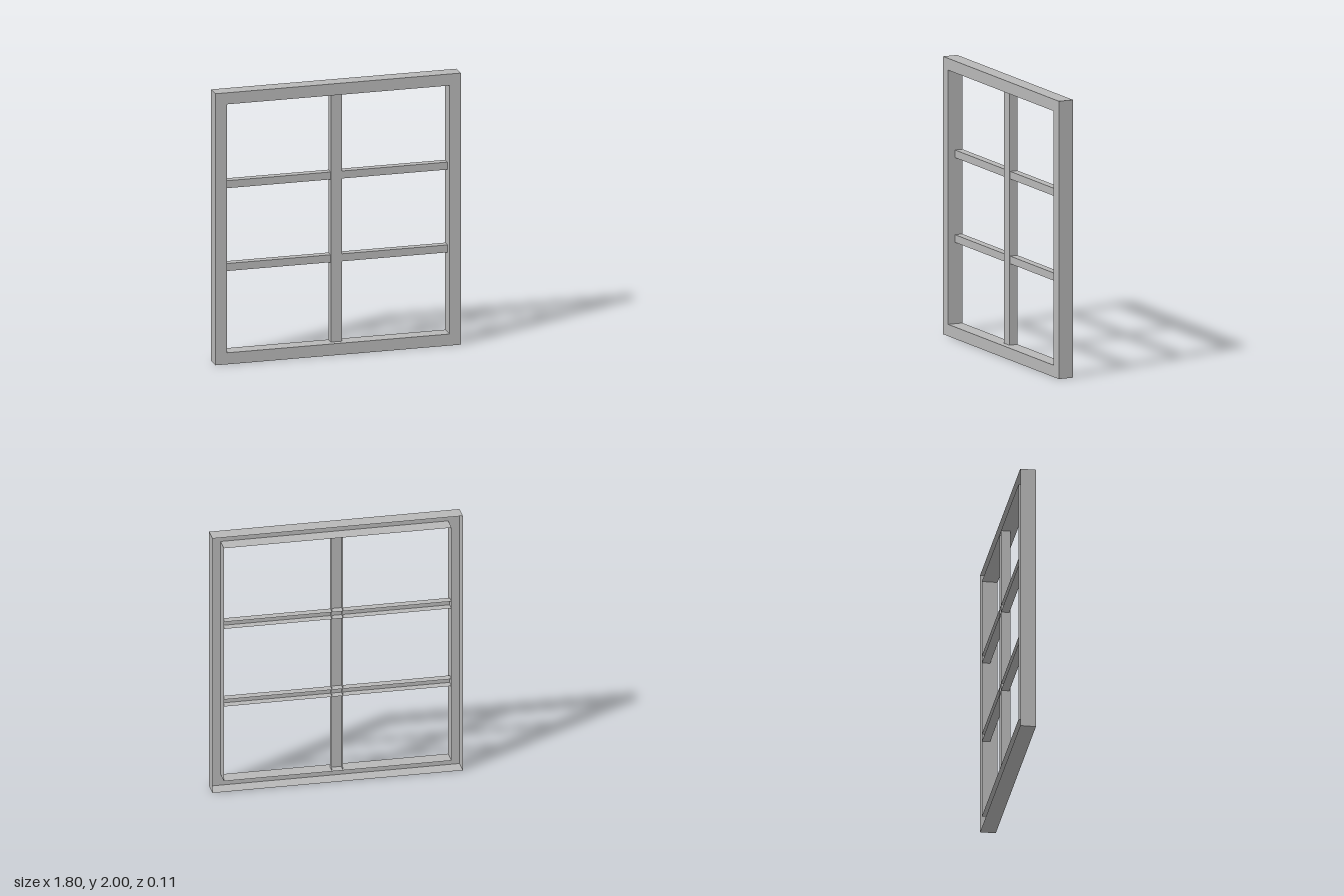
import * as THREE from 'three';

const BACK = -0.056, FRONT = 0.056;

export function createModel() {
  const model = new THREE.Group();
  model.name = 'windowFrame';
  const grey = new THREE.MeshStandardMaterial({ color: 0xb8b8b8, side: THREE.DoubleSide });
  grey.name = 'plainGrey';

  const add = (parent, name, geometry) => {
    const mesh = new THREE.Mesh(geometry, grey);
    mesh.name = name;
    parent.add(mesh);
    return mesh;
  };

  // sheet walls running from z0 to z1
  const uprightWall = (parent, name, x, y0, y1, z0, z1) => {
    const g = new THREE.PlaneGeometry(z1 - z0, y1 - y0).rotateY(x < 0 ? -Math.PI / 2 : Math.PI / 2);
    add(parent, name, g.translate(x, (y0 + y1) / 2, (z0 + z1) / 2));
  };
  const levelWall = (parent, name, y, x0, x1, z0, z1) => {
    const g = new THREE.PlaneGeometry(x1 - x0, z1 - z0).rotateX(-Math.PI / 2);
    add(parent, name, g.translate((x0 + x1) / 2, y, (z0 + z1) / 2));
  };
  const face = (parent, name, x0, x1, y0, y1, z) => {
    const g = new THREE.PlaneGeometry(x1 - x0, y1 - y0);
    add(parent, name, g.translate((x0 + x1) / 2, (y0 + y1) / 2, z));
  };
  const group = (name) => {
    const g = new THREE.Group();
    g.name = name;
    model.add(g);
    return g;
  };

  // outer frame: a ring-shaped channel, open at the back
  const W = 0.902, H = 2, w = 0.82, lo = 0.085, hi = 1.915;
  const frame = group('outerFrame');
  const rect = (x, y0, y1) => [[-x, y0], [x, y0], [x, y1], [-x, y1]].map(p => new THREE.Vector2(...p));
  const ring = new THREE.Shape(rect(W, 0, H));
  ring.holes.push(new THREE.Path(rect(w, lo, hi).reverse()));
  add(frame, 'frameFace', new THREE.ShapeGeometry(ring).translate(0, 0, FRONT));
  for (const s of [-1, 1]) {
    uprightWall(frame, 'outerSideWall', s * W, 0, H, BACK, FRONT);
    uprightWall(frame, 'innerSideWall', s * w, lo, hi, BACK, FRONT);
  }
  for (const y of [0, H]) levelWall(frame, 'outerRailWall', y, -W, W, BACK, FRONT);
  for (const y of [lo, hi]) levelWall(frame, 'innerRailWall', y, -w, w, BACK, FRONT);

  // upright glazing bar: channel set back from the frame face
  const mullion = group('verticalBar');
  const mz = 0.01, mw = 0.04;
  face(mullion, 'verticalBarFace', -mw, mw, lo, hi, mz);
  for (const s of [-1, 1]) uprightWall(mullion, 'verticalBarWall', s * mw, lo, hi, BACK, mz);

  // two level glazing bars, slightly shallower
  const bz = 0.003;
  for (const [y0, y1] of [[0.671, 0.726], [1.281, 1.336]]) {
    const bar = group('horizontalBar');
    face(bar, 'horizontalBarFace', -w, w, y0, y1, bz);
    for (const y of [y0, y1]) levelWall(bar, 'horizontalBarWall', y, -w, w, BACK, bz);
  }
  return model;
}
